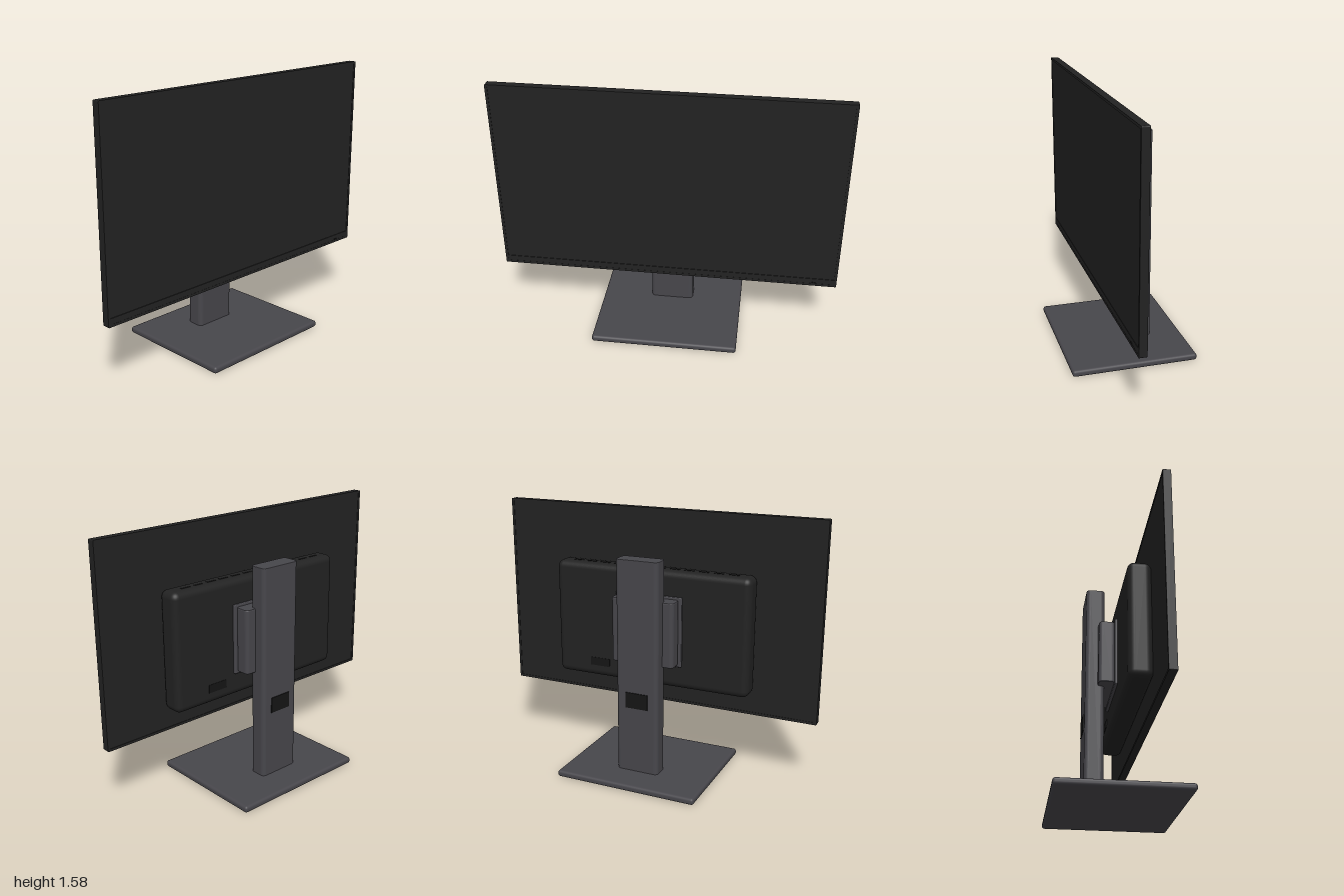
import * as THREE from 'three';
import { RoundedBoxGeometry } from 'three/addons/geometries/RoundedBoxGeometry.js';

export function createModel() {
  const model = new THREE.Group();
  const material = (name, color) => {
    const m = new THREE.MeshStandardMaterial({ color });
    m.name = name;
    return m;
  };
  const black = material('black plastic', 0x222222);
  const grey = material('dark grey metal', 0x47464b);
  const dark = material('vent black', 0x151515);

  const add = (name, geometry, mat, parent = model) => {
    const mesh = new THREE.Mesh(geometry, mat);
    mesh.name = name;
    parent.add(mesh);
    return mesh;
  };
  // Boxes are given by their minimum and maximum on each axis
  const box = (name, [x0, x1], [y0, y1], [z0, z1], mat, radius = 0, parent = model) => {
    const size = [x1 - x0, y1 - y0, z1 - z0];
    const geometry = radius ? new RoundedBoxGeometry(...size, 4, radius) : new THREE.BoxGeometry(...size);
    const mesh = add(name, geometry, mat, parent);
    mesh.position.set((x0 + x1) / 2, (y0 + y1) / 2, (z0 + z1) / 2);
    return mesh;
  };
  const roundedRect = (w, h, r) => {
    const s = new THREE.Shape();
    s.absarc(w / 2 - r, h / 2 - r, r, 0, Math.PI / 2);
    s.absarc(-w / 2 + r, h / 2 - r, r, Math.PI / 2, Math.PI);
    s.absarc(-w / 2 + r, -h / 2 + r, r, Math.PI, Math.PI * 1.5);
    s.absarc(w / 2 - r, -h / 2 + r, r, Math.PI * 1.5, Math.PI * 2);
    s.closePath();
    return s;
  };
  // Upright bar with rounded vertical edges
  const upright = (name, x, width, [y0, y1], [z0, z1], radius, bevel, mat) => {
    const geometry = new THREE.ExtrudeGeometry(roundedRect(width - 2 * bevel, z1 - z0 - 2 * bevel, radius), {
      depth: y1 - y0 - 2 * bevel, bevelEnabled: bevel > 0, bevelSize: bevel, bevelThickness: bevel,
      bevelSegments: 2, curveSegments: 5,
    });
    geometry.rotateX(-Math.PI / 2);
    add(name, geometry, mat).position.set(x, y0 + bevel, (z0 + z1) / 2);
  };

  // Display panel: rim, recessed screen, chin and back cover
  const panel = new THREE.Group();
  panel.name = 'displayPanel';
  model.add(panel);
  const rim = roundedRect(2, 1.18, 0.006);
  const opening = new THREE.Path();
  opening.setFromPoints([[-0.985, -0.575], [-0.985, 0.575], [0.985, 0.575], [0.985, -0.575]]
    .map(([x, y]) => new THREE.Vector2(x, y)));
  rim.holes.push(opening);
  add('panelRim', new THREE.ExtrudeGeometry(rim, { depth: 0.045, bevelEnabled: false, curveSegments: 3 }), black, panel)
    .position.set(0, 0.99, 0.119);
  box('screen', [-0.986, 0.986], [0.45, 1.566], [0.14, 0.161], black, 0, panel);
  box('chin', [-0.986, 0.986], [0.414, 0.449], [0.14, 0.163], black, 0, panel);
  box('backCover', [-0.986, 0.986], [0.414, 1.566], [0.122, 0.14], black, 0, panel);
  box('powerLight', [0.855, 0.88], [0.418, 0.424], [0.163, 0.167], dark, 0, panel);

  // Electronics housing with top vents and a rear label
  box('housing', [-0.62, 0.615], [0.54, 1.247], [-0.01, 0.125], black, 0.04);
  for (let i = 0; i < 12; i++) {
    const x = -0.5 + i * 0.09;
    box('vent', [x - 0.03, x + 0.03], [1.244, 1.249], [0.045, 0.06], dark);
  }
  box('rearLabel', [0.26, 0.39], [0.61, 0.66], [-0.012, -0.008], dark);

  // Mount between the housing and the stand
  box('mountPlate', [-0.215, 0.205], [0.68, 1.1], [-0.026, -0.006], grey, 0.006);
  upright('mountBlock', -0.004, 0.392, [0.697, 1.087], [-0.115, -0.02], 0.015, 0.008, grey);

  // Stand post, cable opening and base
  upright('post', -0.004, 0.264, [0.03, 1.33], [-0.185, -0.075], 0.022, 0.003, grey);
  box('cableOpening', [-0.075, 0.067], [0.445, 0.54], [-0.19, -0.182], dark);
  box('base', [-0.443, 0.437], [0, 0.04], [-0.375, 0.375], grey, 0.016);

  return model;
}
